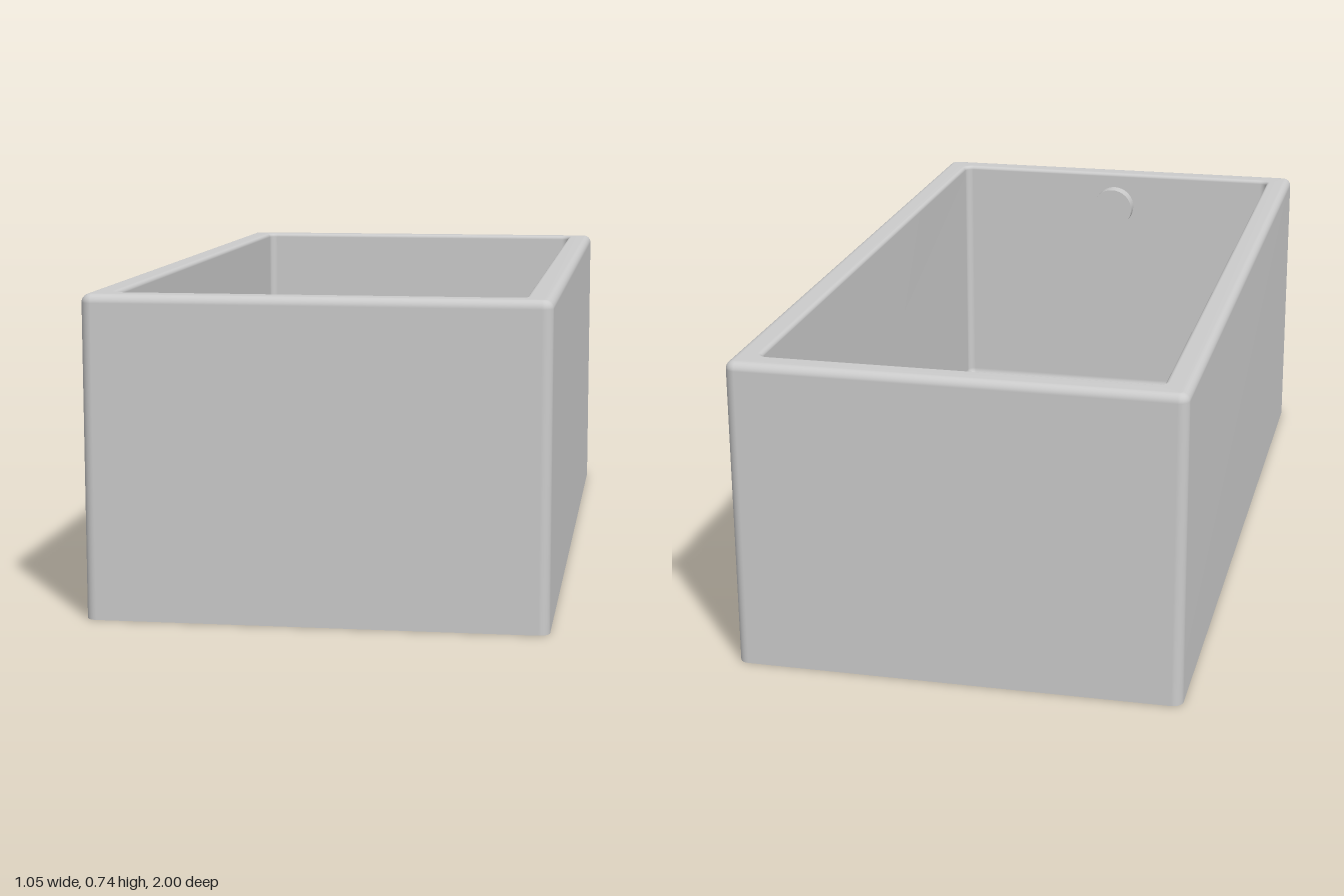
import * as THREE from 'three';

const HALF_X = 0.525, HALF_Z = 1, HEIGHT = 0.74, WALL = 0.065, FLOOR = 0.065;
const SEG = 6; // steps around each rounded edge

// Horizontal rounded rectangle, inset from the outside of the tub
function ring(inset, y, radius) {
  const pts = [];
  for (let c = 0; c < 4; c++) {
    const sx = c === 0 || c === 3 ? 1 : -1, sz = c < 2 ? 1 : -1;
    for (let i = 0; i <= SEG; i++) {
      const a = (c + i / SEG) * Math.PI / 2;
      pts.push([
        sx * (HALF_X - inset - radius) + radius * Math.cos(a), y,
        sz * (HALF_Z - inset - radius) + radius * Math.sin(a),
      ]);
    }
  }
  return pts;
}

// Skin a list of rings; area-weighted normals keep the big walls flat
function loft(rings) {
  const n = rings[0].length, index = [];
  for (let r = 0; r < rings.length - 1; r++) {
    for (let i = 0; i < n; i++) {
      const a = r * n + i, b = r * n + (i + 1) % n;
      index.push(a, a + n, b, b, a + n, b + n);
    }
  }
  const geo = new THREE.BufferGeometry();
  geo.setAttribute('position', new THREE.Float32BufferAttribute(rings.flat(2), 3));
  geo.setIndex(index);
  geo.computeVertexNormals();
  return geo;
}

export function createModel() {
  const group = new THREE.Group();
  const material = new THREE.MeshStandardMaterial({ color: 0xcccccc });
  const add = (name, geo) => {
    const mesh = new THREE.Mesh(geo, material);
    mesh.name = name;
    group.add(mesh);
    return mesh;
  };

  // Tub wall: up the outside, over the rounded rim, down inside, into the floor
  const R = 0.02, RIM = 0.01, FILLET = 0.025, CORNER = 0.025;
  const rings = [ring(0, 0, CORNER)];
  const arc = (fn) => {
    for (let i = 0; i <= SEG; i++) {
      const a = i / SEG * Math.PI / 2;
      rings.push(fn(Math.sin(a), 1 - Math.cos(a)));
    }
  };
  arc((s, c) => ring(R * c, HEIGHT - R + R * s, CORNER - R * c));
  arc((s, c) => ring(WALL - RIM + RIM * s, HEIGHT - RIM * c, 0.03 - RIM * s));
  arc((s, c) => ring(WALL + FILLET * c, FLOOR + FILLET * (1 - s), 0.02 - 0.015 * c));
  rings.push(ring(0.3, FLOOR, 0.005), ring(HALF_X - 0.001, FLOOR, 0.001)); // basin floor
  add('tubShell', loft(rings));

  // Flat underside
  add('underside', loft([ring(HALF_X - 0.001, 0, 0.001), ring(0, 0, CORNER)]));

  // Drain cover set in the floor near the front
  add('drainCover', new THREE.CylinderGeometry(0.042, 0.042, 0.01, 32))
    .position.set(0, FLOOR, 0.82);

  // Overflow knob on the inside of the front wall
  const overflow = add('overflowKnob', new THREE.CylinderGeometry(0.058, 0.058, 0.05, 32));
  overflow.rotation.x = Math.PI / 2;
  overflow.position.set(0, 0.64, 0.92);

  return group;
}
